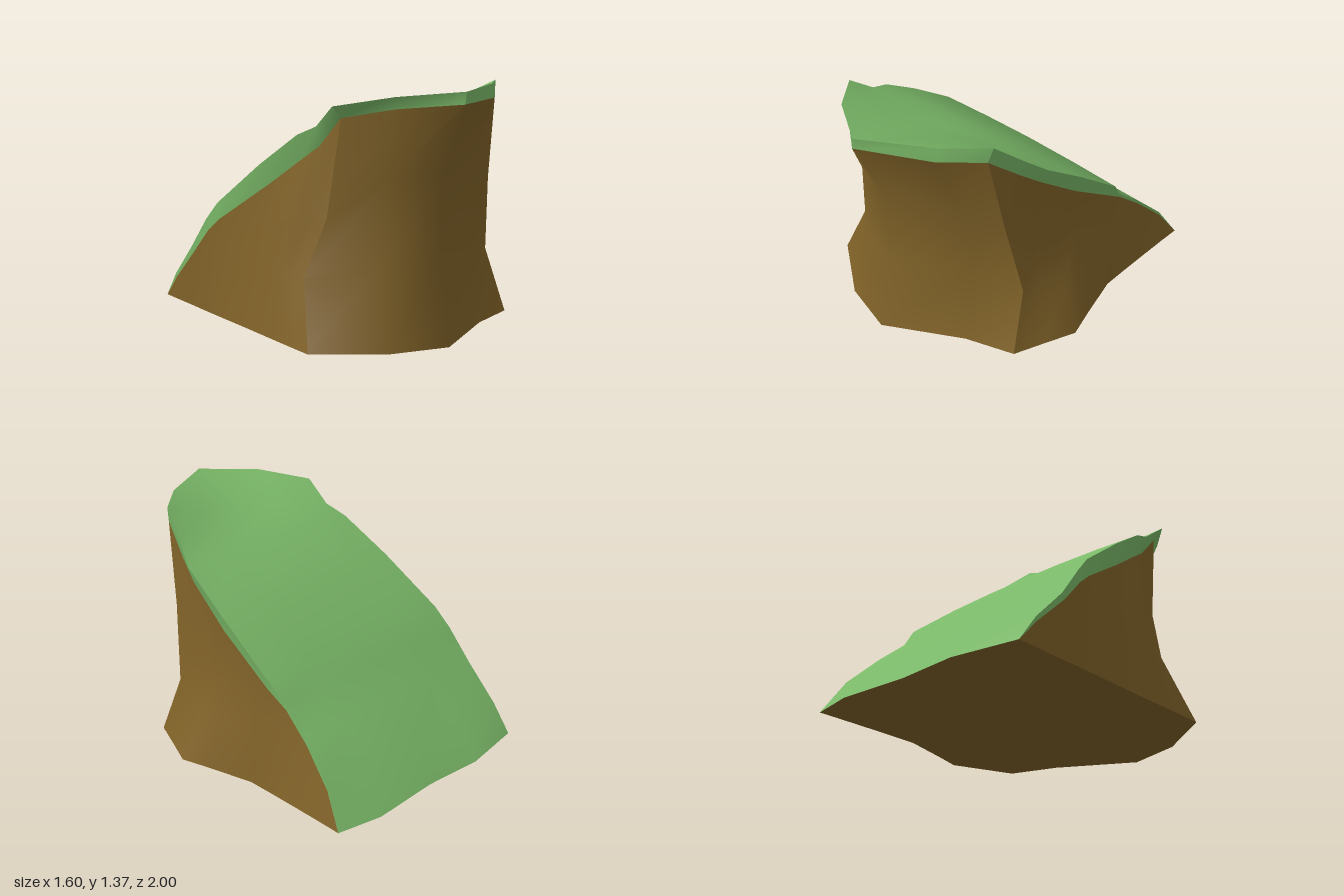
import * as THREE from 'three';
import { toCreasedNormals } from 'three/addons/utils/BufferGeometryUtils.js';

const rock = new THREE.MeshStandardMaterial({ color: 0x806228 });
const grass = new THREE.MeshStandardMaterial({ color: 0x7ab868 });

const lerp = (a, b, t) => a.map((v, i) => v + (b[i] - v) * t);

// Skin a list of equally long rows of points, skipping collapsed triangles.
function loft(rows) {
  const pos = [];
  const same = (p, q) => p.every((v, i) => Math.abs(v - q[i]) < 1e-5);
  const tri = (a, b, c) => {
    if (!same(a, b) && !same(b, c) && !same(c, a)) pos.push(...a, ...b, ...c);
  };
  for (let i = 0; i < rows.length - 1; i++) {
    for (let j = 0; j < rows[i].length - 1; j++) {
      const a = rows[i][j], b = rows[i][j + 1], c = rows[i + 1][j + 1], d = rows[i + 1][j];
      tri(a, b, c);
      tri(a, c, d);
    }
  }
  const g = new THREE.BufferGeometry();
  g.setAttribute('position', new THREE.Float32BufferAttribute(pos, 3));
  return toCreasedNormals(g, 1.0);
}

// Each column runs from the foot up the rock to the lower and upper rim of the turf.
const column = (foot, low, top, m1 = lerp(foot, low, 0.35), m2 = lerp(foot, low, 0.7)) =>
  [foot, m1, m2, low, top];

// Left side, back to front
const leftSide = [
  column([-0.8, 0, -0.92], [-0.8, 0, -0.92], [-0.8, 0, -0.92]),
  column([-0.795, 0, -0.8], [-0.795, 0.14, -0.79], [-0.796, 0.16, -0.8]),
  column([-0.785, 0, -0.6], [-0.787, 0.33, -0.58], [-0.79, 0.36, -0.6]),
  column([-0.78, 0, -0.45], [-0.764, 0.49, -0.43], [-0.768, 0.55, -0.45]),
  column([-0.775, 0, -0.35], [-0.742, 0.57, -0.33], [-0.745, 0.66, -0.35]),
  column([-0.757, 0, 0], [-0.63, 0.82, 0.05], [-0.67, 0.92, 0]),
  column([-0.745, 0, 0.28], [-0.565, 0.98, 0.28], [-0.6, 1.11, 0.28], [-0.7, 0.33, 0.2], [-0.64, 0.65, 0.24]),
  column([-0.737, 0, 0.45], [-0.535, 1.06, 0.4], [-0.565, 1.165, 0.41], [-0.66, 0.35, 0.33], [-0.57, 0.68, 0.37]),
  column([-0.73, 0, 0.57], [-0.51, 1.22, 0.56], [-0.57, 1.285, 0.57], [-0.64, 0.36, 0.4], [-0.54, 0.68, 0.47]),
];

// Concave front face below the overhang, left to right
const frontFace = [
  column([-0.38, 0, 0.815], [-0.33, 1.275, 0.79], [-0.35, 1.34, 0.81], [-0.34, 0.45, 0.72], [-0.32, 0.9, 0.73]),
  column([-0.05, 0, 0.9], [-0.05, 1.3, 1.0], [-0.04, 1.365, 1.0], [-0.05, 0.45, 0.81], [-0.05, 0.92, 0.83]),
  column([0.38, 0, 0.645], [0.33, 1.295, 0.79], [0.33, 1.37, 0.77], [0.35, 0.42, 0.56], [0.33, 0.9, 0.63]),
];

// Right side, front to back, with a spur at the foot
const rightSide = [
  column([0.66, 0, 0.545], [0.51, 1.275, 0.59], [0.53, 1.365, 0.57], [0.61, 0.36, 0.42], [0.55, 0.8, 0.5]),
  column([0.73, 0, 0.36], [0.565, 1.12, 0.4], [0.58, 1.23, 0.41], [0.645, 0.3, 0.3], [0.595, 0.6, 0.32]),
  column([0.8, 0, 0.18], [0.595, 1.02, 0.27], [0.63, 1.12, 0.27], [0.685, 0.28, 0.15], [0.605, 0.53, 0.14]),
  column([0.745, 0, 0], [0.61, 0.82, 0], [0.635, 0.93, 0], [0.665, 0.28, 0], [0.605, 0.53, 0]),
  column([0.67, 0, -0.27], [0.6, 0.59, -0.34], [0.615, 0.66, -0.35]),
  column([0.665, 0, -0.45], [0.575, 0.5, -0.46], [0.575, 0.53, -0.45]),
  column([0.662, 0, -0.62], [0.585, 0.36, -0.63], [0.585, 0.39, -0.62]),
  column([0.66, 0, -0.81], [0.615, 0.18, -0.82], [0.615, 0.2, -0.82]),
  column([0.66, 0, -0.95], [0.66, 0, -0.95], [0.66, 0, -0.95]),
];

export function createModel() {
  const model = new THREE.Group();
  const add = (name, geometry, material) => {
    const mesh = new THREE.Mesh(geometry, material);
    mesh.name = name;
    model.add(mesh);
  };

  // Walls are smooth within themselves and meet in sharp corners
  const level = (columns, k) => columns.map((c) => c[k]);
  const front = [leftSide.at(-1), ...frontFace, rightSide[0]];
  for (const [name, columns] of [['left', leftSide], ['front', front], ['right', rightSide]]) {
    add(name + 'RockWall', loft([0, 1, 2, 3].map((k) => level(columns, k))), rock);
    add(name + 'TurfRim', loft([level(columns, 3), level(columns, 4)]), grass);
  }

  // Ramp: rows from the pointed front edge to the toe at the back
  const backEdge = [[-0.8, 0, -0.92], [-0.41, 0, -0.99], [-0.04, 0, -0.97], [0.39, 0, -1], [0.66, 0, -0.95]];
  const lefts = level(leftSide, 4).reverse();
  const rights = level(rightSide, 4);
  const bulge = [-0.09, -0.02, 0.02, 0.02, 0.02, 0.02, 0.02, 0.03];
  const ramp = [level(front, 4)];
  bulge.forEach((b, i) => {
    ramp.push([0, 0.25, 0.5, 0.77, 1].map((t) => {
      const p = lerp(lefts[i], rights[i], t);
      p[1] += b * Math.sin(Math.PI * t);
      return p;
    }));
  });
  ramp.push(backEdge);
  add('grassRamp', loft(ramp), grass);

  // Flat underside
  const feet = level([...leftSide, ...frontFace, ...rightSide], 0);
  const outline = [...feet, ...backEdge.slice(1, 4).reverse(), feet[0]];
  add('underside', loft([outline.map(() => [0, 0, 0]), outline]), rock);
  return model;
}
